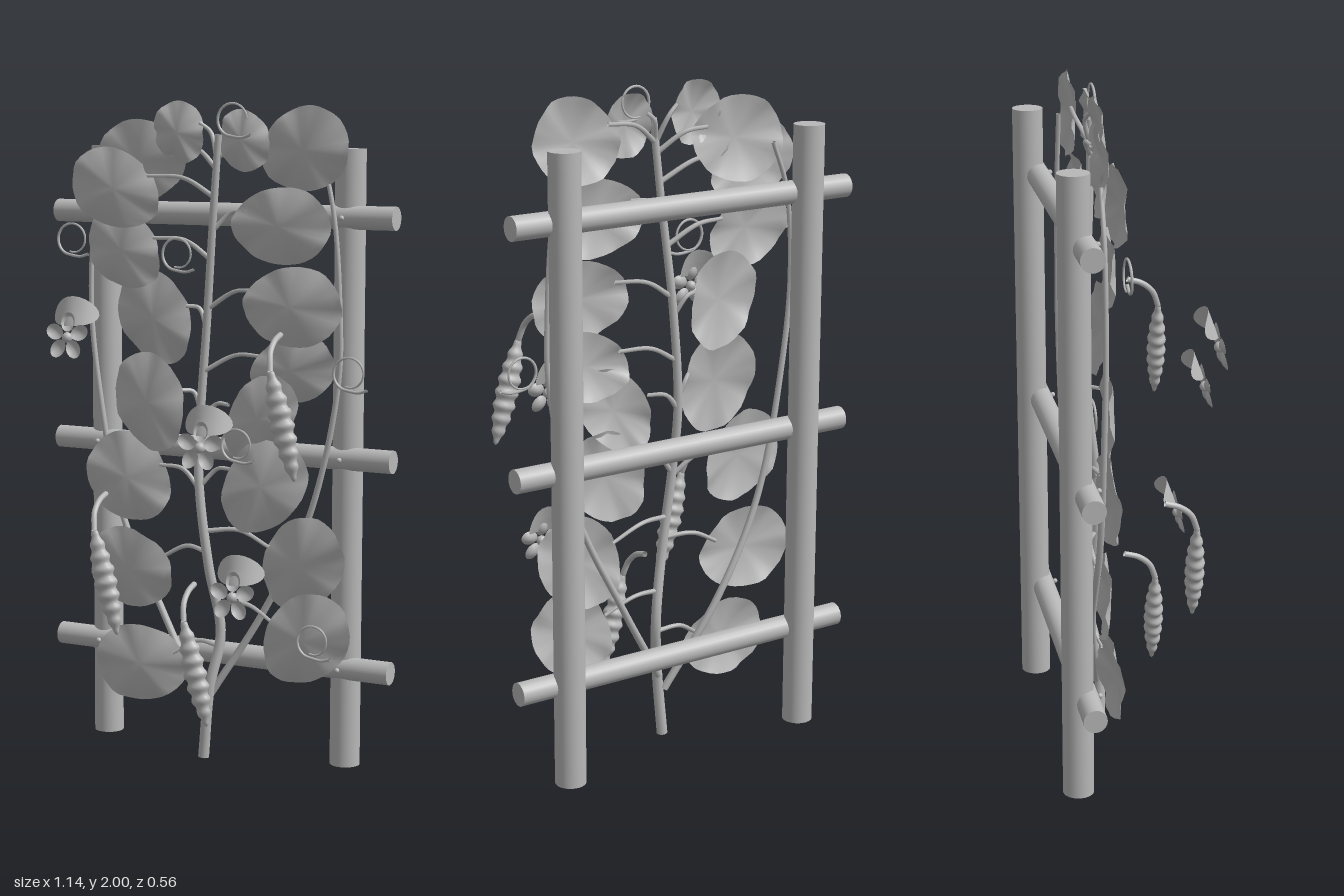
import * as THREE from 'three';

const grey = new THREE.MeshStandardMaterial({ color: 0xb8b8b8, side: THREE.DoubleSide });
grey.name = 'plain grey';

const V = (x, y, z) => new THREE.Vector3(x, y, z);

function add(parent, name, geometry, x = 0, y = 0, z = 0) {
  const mesh = new THREE.Mesh(geometry, grey);
  mesh.name = name;
  mesh.position.set(x, y, z);
  parent.add(mesh);
  return mesh;
}

// Tube through points whose radius narrows from r0 to r1
function taperedTube(points, r0, r1, segments, sides = 8) {
  const curve = new THREE.CatmullRomCurve3(points);
  const geo = new THREE.TubeGeometry(curve, segments, 1, sides);
  const pos = geo.attributes.position;
  const p = V(0, 0, 0);
  for (let i = 0; i <= segments; i++) {
    const c = curve.getPointAt(i / segments);
    const r = r0 + (r1 - r0) * (i / segments);
    for (let j = 0; j <= sides; j++) {
      const k = i * (sides + 1) + j;
      p.fromBufferAttribute(pos, k).sub(c).multiplyScalar(r).add(c);
      pos.setXYZ(k, p.x, p.y, p.z);
    }
  }
  return geo;
}

// Round sheet built from rings; depth(r, a) bends it
function sheet(rx, ry, depth, egg = 0, rings = 7, sides = 36) {
  const pos = [0, 0, depth(0, 0)];
  const index = [];
  for (let i = 1; i <= rings; i++) {
    for (let j = 0; j < sides; j++) {
      const r = i / rings;
      const a = (j / sides) * Math.PI * 2;
      pos.push(rx * r * Math.cos(a), ry * r * Math.sin(a) * (1 + egg * r * Math.cos(a)), depth(r, a));
      const n = (j + 1) % sides;
      const b = 1 + (i - 1) * sides;
      if (i === 1) index.push(0, 1 + j, 1 + n);
      else index.push(b - sides + j, b + j, b + n, b - sides + j, b + n, b - sides + n);
    }
  }
  const geo = new THREE.BufferGeometry();
  geo.setAttribute('position', new THREE.Float32BufferAttribute(pos, 3));
  geo.setIndex(index);
  geo.computeVertexNormals();
  return geo;
}

function makeTrellis() {
  const g = new THREE.Group();
  g.name = 'trellis';
  for (const s of [-1, 1]) add(g, 'post', new THREE.CylinderGeometry(0.046, 0.046, 1.86, 24), s * 0.413, 0.93, -0.238);
  for (const y of [0.305, 0.945, 1.66]) {
    add(g, 'rail', new THREE.CylinderGeometry(0.035, 0.035, 1.14, 20), 0, y, -0.213).rotation.z = Math.PI / 2;
    for (const s of [-1, 1]) add(g, 'nail', new THREE.SphereGeometry(0.008, 10, 8), s * 0.413, y, -0.172);
  }
  return g;
}

// Centre x, y, half width, half height, turn
const LEAVES = [
  [-0.22, 0.27, 0.155, 0.12, 0], [-0.275, 0.56, 0.155, 0.125, -0.15],
  [-0.27, 0.85, 0.15, 0.13, -0.7], [-0.19, 1.09, 0.155, 0.12, -1.2],
  [-0.185, 1.345, 0.15, 0.115, -1.15], [-0.285, 1.55, 0.14, 0.11, -0.6],
  [-0.307, 1.735, 0.155, 0.115, -0.4], [-0.233, 1.82, 0.155, 0.125, 0.1],
  [-0.095, 1.905, 0.095, 0.082, -1.2], [0.127, 1.885, 0.095, 0.08, -1.1],
  [0.31, 1.857, 0.142, 0.122, 0.35], [0.24, 1.635, 0.16, 0.113, 0],
  [0.285, 1.4, 0.16, 0.118, 0], [0.275, 1.21, 0.14, 0.1, 0.3],
  [0.175, 1.06, 0.15, 0.1, 0.9], [0.195, 0.86, 0.16, 0.122, 0.9],
  [0.31, 0.625, 0.155, 0.125, 0.9], [0.33, 0.4, 0.158, 0.122, 0.8],
];

function makeVine() {
  const g = new THREE.Group();
  g.name = 'vine';
  const stemPoints = [
    [0, 0], [0.02, 0.22], [0.043, 0.39], [0.01, 0.6], [-0.025, 0.86],
    [-0.03, 1.05], [-0.01, 1.34], [0.02, 1.66], [0.042, 1.9],
  ].map(([x, y], i) => V(x, y, i < 2 ? -0.1 : -0.125 - 0.015 * Math.sin(i * 1.4)));
  add(g, 'mainStem', taperedTube(stemPoints, 0.017, 0.011, 90, 10));
  const left = [[0, 0.15], [-0.17, 0.43], [-0.31, 0.72], [-0.395, 1.13], [-0.42, 1.4], [-0.4, 1.66], [-0.35, 1.8]];
  const right = [[0.02, 0.2], [0.18, 0.47], [0.33, 0.78], [0.418, 1.18], [0.42, 1.4], [0.4, 1.66], [0.36, 1.85]];
  for (const side of [left, right]) {
    const path = side.map(([x, y], i) => V(x, y, i === 0 ? -0.11 : -0.152));
    add(g, 'sideStem', taperedTube(path, 0.012, 0.007, 70));
  }

  LEAVES.forEach(([x, y, rx, ry, turn], i) => {
    const s = Math.sign(x);
    const z = -0.115 - 0.014 * ((i * 2) % 3 - 1);
    // Gently domed blade, rippled towards its edge
    const geo = sheet(rx, ry, (r, a) => 0.012 - 0.02 * r * r + 0.007 * r * r * Math.sin(5 * a + i) + 0.003 * r ** 3 * Math.sin(11 * a), s * 0.1);
    const blade = add(g, 'leaf', geo, x, y, z);
    blade.rotation.set(0.06 * Math.sin(i * 2), 0.08 * Math.cos(i * 3), turn);

    // Arched stalk from the main stem to the inner edge of the blade
    const startY = Math.min(y - 0.02 + (y < 0.7 ? 0.1 : 0), 1.83);
    let k = 0;
    while (k < stemPoints.length - 2 && stemPoints[k + 1].y < startY) k++;
    const a = stemPoints[k], b = stemPoints[k + 1];
    const start = a.clone().lerp(b, (startY - a.y) / (b.y - a.y));
    const end = V(x - s * rx * 0.7, y + ry * 0.35, z - 0.01);
    const mid = start.clone().lerp(end, 0.5).add(V(0, 0.025, -0.015));
    add(g, 'leafStalk', taperedTube([start, mid, end], 0.008, 0.006, 14, 6));
  });
  return g;
}

function makePod(x, y, z) {
  const g = new THREE.Group();
  g.name = 'pod';
  g.position.set(x, y, z);
  const top = V(0.016, -0.095, 0.1), tip = V(0.097, -0.405, 0.105);
  add(g, 'podStalk', taperedTube([V(0, 0, 0), V(0.002, -0.015, 0.045), V(0.006, -0.045, 0.08), top], 0.009, 0.009, 20));
  // Bumpy pod with a pointed end
  const profile = [];
  for (let i = 0; i <= 56; i++) {
    const t = i / 56;
    const r = 0.031 * Math.pow(Math.sin(Math.PI * (0.03 + 0.97 * t)), 0.6) * (0.9 + 0.12 * Math.cos(t * Math.PI * 16));
    profile.push(new THREE.Vector2(Math.max(r, 0.0005), (t - 1) * -1 * 0.32 - 0.16));
  }
  profile.reverse();
  profile.reverse();
  const ordered = profile[0].y > profile[profile.length - 1].y ? profile.slice().reverse() : profile;
  const body = add(g, 'podBody', new THREE.LatheGeometry(ordered, 18));
  body.position.copy(top).lerp(tip, 0.5);
  body.quaternion.setFromUnitVectors(V(0, 1, 0), top.clone().sub(tip).normalize());
  body.scale.set(1.2, 1, 0.95);
  return g;
}

function makeFlower(x, y, z) {
  const g = new THREE.Group();
  g.name = 'flower';
  g.position.set(x, y, z);
  // Broad upper petal, its sides swept back
  const banner = add(g, 'upperPetal', sheet(0.076, 0.046, (r, a) => 0.012 - 0.04 * r * r * Math.cos(a) ** 2, 0, 5, 24), 0, 0.052, -0.012);
  banner.rotation.x = -0.35;
  // Ring of small cupped petals about the heart
  for (let i = 0; i < 5; i++) {
    const a = Math.PI / 2 + (i * Math.PI * 2) / 5;
    const py = Math.sin(a) * 0.043 - 0.02;
    const petal = add(g, 'smallPetal', sheet(0.029, 0.023, (r) => 0.012 * r * r, 0, 4, 18), Math.cos(a) * 0.044, py, 0.008 - py * 0.2);
    petal.rotation.set(-0.2, 0, a);
  }
  add(g, 'flowerHeart', new THREE.SphereGeometry(0.016, 14, 10), 0, -0.02, 0.02);
  return g;
}

function makeTendril(x, y, z) {
  const path = [V(0.062, -0.045, 0.006), V(0.035, -0.053, 0.004)];
  for (let i = 0; i <= 14; i++) {
    const a = -Math.PI / 2 - (i / 14) * Math.PI * 2.1;
    const r = 0.05 - 0.008 * (i / 14);
    path.push(V(Math.cos(a) * r, Math.sin(a) * r, -0.0008 * i));
  }
  const geo = taperedTube(path, 0.005, 0.003, 60, 6);
  geo.translate(x, y, z);
  return geo;
}

export function createModel() {
  const model = new THREE.Group();
  model.name = 'climbingPlantOnTrellis';
  model.add(makeTrellis(), makeVine());
  for (const p of [[0.325, 1.335, 0.05], [-0.255, 0.825, 0.05], [0.01, 0.56, -0.02]]) model.add(makePod(...p));
  for (const p of [[-0.3, 1.33, 0.175], [0.175, 1.045, 0.243], [0.245, 0.605, 0.175]]) model.add(makeFlower(...p));
  const curls = [[-0.455, 1.58], [-0.09, 1.545], [0.475, 1.215], [0.365, 0.405], [0.095, 1.945], [0.11, 0.98]];
  for (const [x, y] of curls) add(model, 'tendril', makeTendril(x, y, -0.093));
  return model;
}
